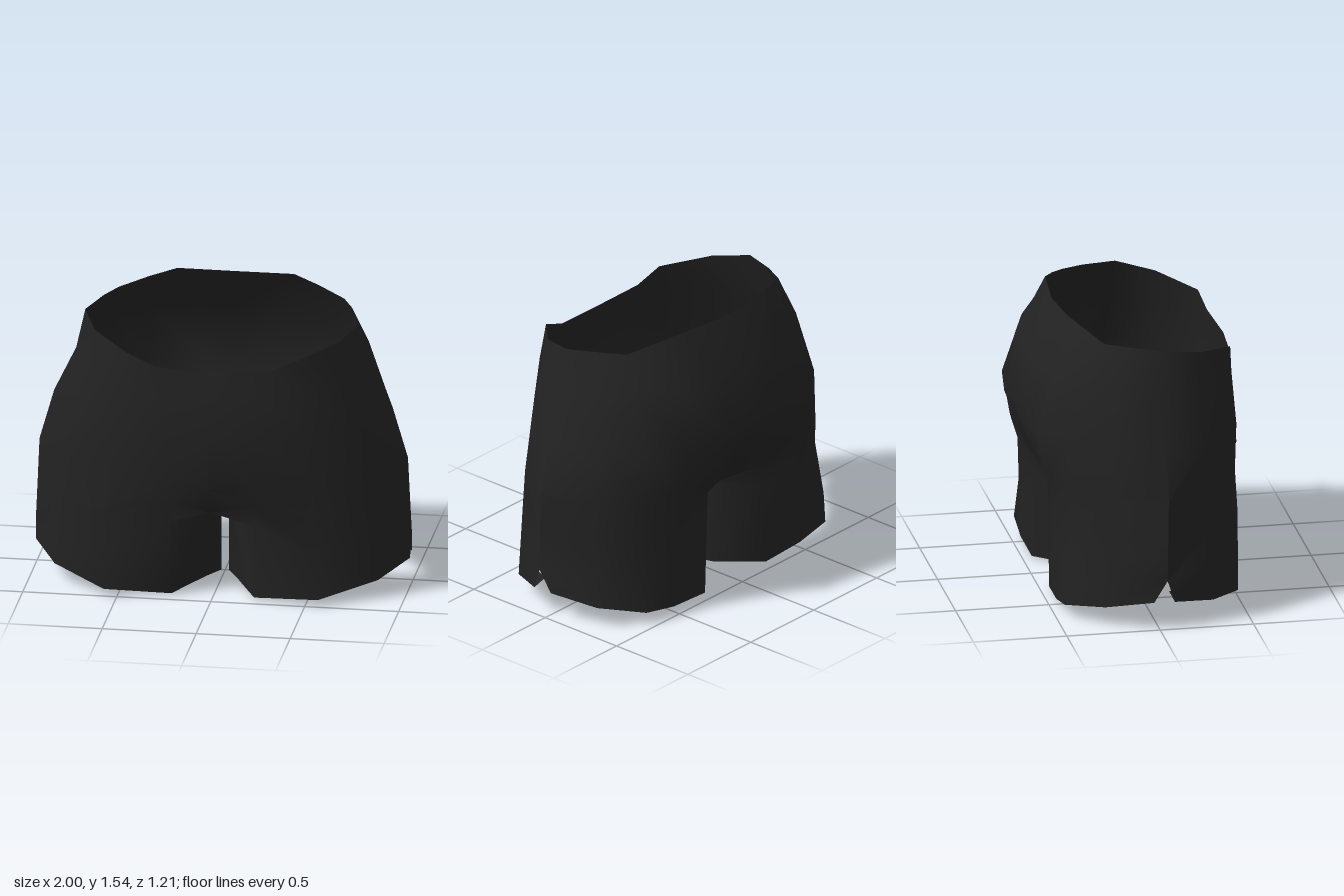
import * as THREE from 'three';
import { toCreasedNormals } from 'three/addons/utils/BufferGeometryUtils.js';

// Half cross-sections on the +x side, running front centre -> side seam -> back centre
const waist = [[0, 1.275, .53], [.3, 1.3, .5], [.45, 1.36, .48], [.65, 1.41, .29], [.73, 1.45, .09],
  [.66, 1.465, -.1], [.6, 1.47, -.22], [.45, 1.51, -.3], [.31, 1.54, -.365], [0, 1.53, -.39]];
const upperHip = [[0, 1.15, .555], [.28, 1.15, .52], [.5, 1.18, .48], [.7, 1.2, .29], [.78, 1.23, .08],
  [.74, 1.26, -.16], [.64, 1.28, -.31], [.47, 1.28, -.46], [.22, 1.28, -.54], [0, 1.28, -.53]];
const hip = [[0, .95, .58], [.25, .95, .54], [.52, .95, .5], [.77, .95, .3], [.9, .98, .06],
  [.82, .97, -.23], [.66, .97, -.42], [.5, .96, -.56], [.2, .96, -.605], [0, .96, -.58]];
const seat = [[0, .66, .6], [.2, .68, .51], [.53, .7, .49], [.82, .7, .3], [.98, .7, .05],
  [.87, .7, -.225], [.67, .7, -.42], [.48, .72, -.52], [.2, .73, -.52], [0, .78, -.47]];
const crotch = [[0, .5, .51], [.22, .52, .45], [.55, .48, .5], [.84, .48, .3], [.99, .48, .045],
  [.87, .48, -.225], [.68, .5, -.41], [.48, .59, -.48], [.22, .59, -.45], [0, .57, -.36]];
// Gusset between the legs, back to front
const gusset = [[0, .47, -.18], [0, .41, 0], [0, .43, .2]];
// Inner walls of the legs just below the gusset: front corner, then back to front
const innerFront = [.1, .45, .3];
const innerWall = [[.07, .47, -.24], [.04, .43, -.12], [.02, .38, 0], [.04, .4, .14]];
// Closed hem ring; the side seam has two points, forming a notch
const hem = [[.14, .01, .26], [.22, .01, .43], [.57, .04, .5], [.86, .1, .31], [.995, .15, .08],
  [.99, .15, -.03], [.9, .11, -.275], [.71, .07, -.455], [.5, .03, -.46], [.24, .01, -.45],
  [.07, .005, -.24], [.04, 0, -.12], [.02, 0, 0], [.08, .005, .12]];
const SIDE = 4;

// Adds quads between two rows; the notch column is left open
function stitch(out, top, bottom, closed) {
  const n = top.length;
  for (let j = 0; j < (closed ? n : n - 1); j++) {
    if (closed && j === SIDE) continue;
    const k = (j + 1) % n;
    out.push([top[j], bottom[j], bottom[k]], [top[j], bottom[k], top[k]]);
  }
}

// Turns half-model triangles into geometry, on one or both sides
function toGeometry(tris, sides) {
  const pos = [];
  for (const s of sides) {
    for (const t of tris) {
      for (const p of s > 0 ? t : [...t].reverse()) pos.push(p[0] * s, p[1], p[2]);
    }
  }
  const g = new THREE.BufferGeometry();
  g.setAttribute('position', new THREE.Float32BufferAttribute(pos, 3));
  return toCreasedNormals(g, 0.9);
}

export function createModel() {
  const group = new THREE.Group();
  group.name = 'shorts';
  const fabric = new THREE.MeshStandardMaterial({ color: 0x222222, side: THREE.DoubleSide });
  fabric.name = 'blackFabric';

  // Hips and seat
  const shell = [];
  const rows = [waist, upperHip, hip, seat, crotch];
  for (let i = 0; i < rows.length - 1; i++) stitch(shell, rows[i], rows[i + 1], false);

  // Legs: outer columns run straight to the hem, inner walls start under the gusset
  const legTop = [...crotch.slice(0, SIDE + 1), ...crotch.slice(SIDE), ...gusset];
  const thigh = legTop.map((p, j) => {
    if (j === 0) return innerFront;
    if (j > 9) return innerWall[j - 10];
    const t = j === 1 || j === 9 ? .2 : .45;
    return p.map((v, a) => v + (hem[j][a] - v) * t);
  });
  thigh[SIDE] = thigh[SIDE + 1] = [1, .27, .04];
  stitch(shell, legTop, thigh, true);
  stitch(shell, thigh, hem, true);

  const body = new THREE.Mesh(toGeometry(shell, [1, -1]), fabric);
  body.name = 'shortsShell';
  group.add(body);

  // Hem facings folded inward
  const lip = hem.map(([x, y, z]) => [.5 + (x - .5) * .87, y + .04, z * .75]);
  const facing = [];
  stitch(facing, hem, lip, true);
  for (const [name, s] of [['leftHem', 1], ['rightHem', -1]]) {
    const mesh = new THREE.Mesh(toGeometry(facing, [s]), fabric);
    mesh.name = name;
    group.add(mesh);
  }
  return group;
}
